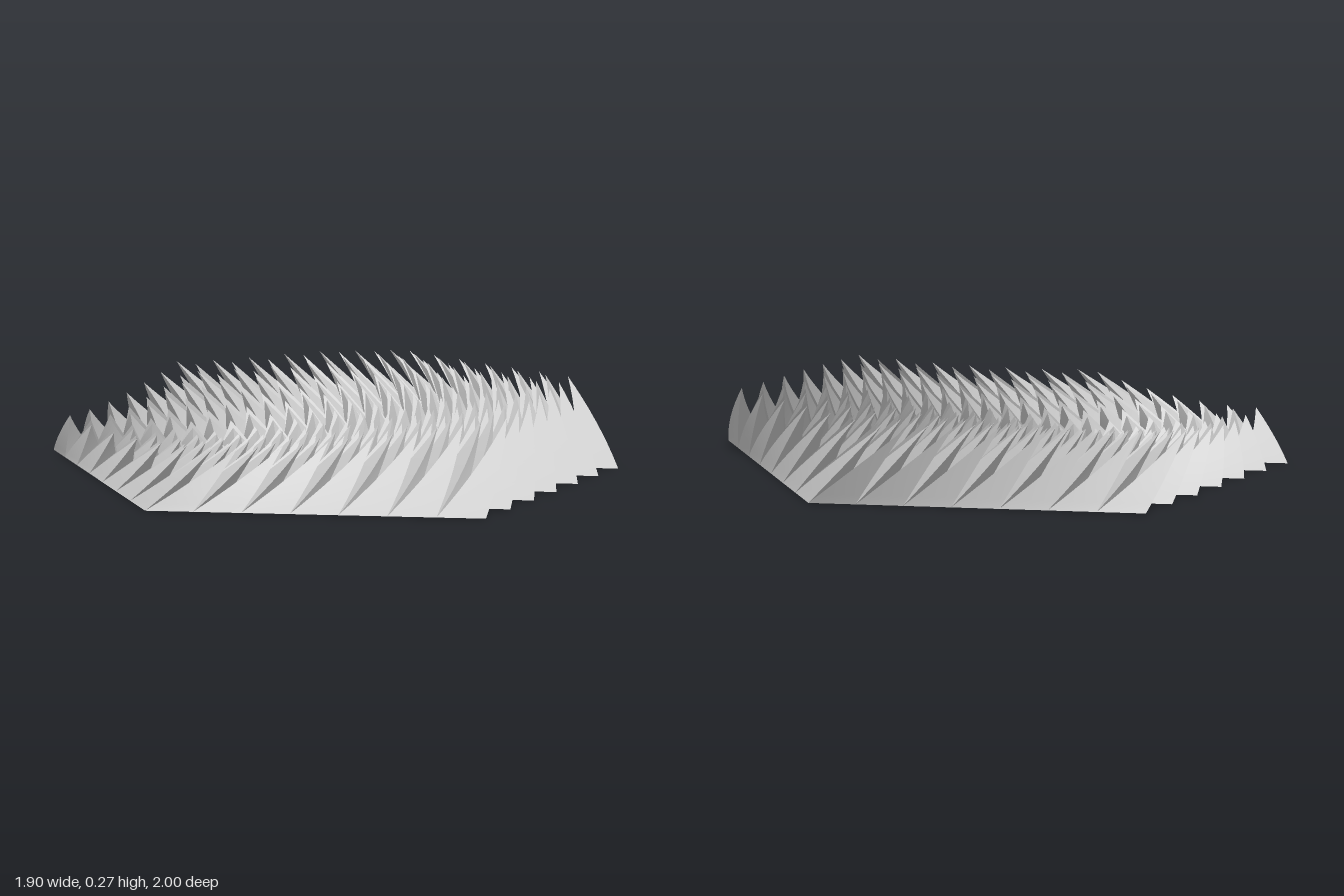
import * as THREE from 'three';

const EDGE = 2 / 13;                    // side of one triangular cell
const STEP = EDGE * Math.sqrt(3) / 2;   // distance between lattice columns
const COLS = 7;                         // columns on each side of the middle
const MID_X = 0.0275;
const SWIRL = new THREE.Vector3(-0.318, 0, 0.196); // centre all spikes turn about
const TWIST = 0.26, SHRINK = 0.04, STEPS = 8;
const UP = new THREE.Vector3(0, 1, 0);

// Lattice point j (from back to front) of column i
function latticePoint(i, j) {
  return new THREE.Vector3(MID_X + i * STEP, 0, (j - (13 - Math.abs(i)) / 2) * EDGE);
}

// All base triangles; the outermost columns keep only the outward teeth
function baseCells() {
  const cells = [];
  for (const side of [-1, 1]) {
    for (let k = 0; k < COLS; k++) {
      const inner = (j) => latticePoint(side * k, j);
      const outer = (j) => latticePoint(side * (k + 1), j);
      const count = 13 - k;
      for (let j = 0; j < count; j++) {
        cells.push([inner(j), inner(j + 1), outer(j)]);
        if (j < count - 1 && k < COLS - 1) cells.push([outer(j), inner(j + 1), outer(j + 1)]);
      }
    }
  }
  return cells;
}

// One curved spike: the triangle shrinks to a tip while turning about SWIRL
function addSpike(cell, positions, indices) {
  let [a, b, c] = cell;
  const turn = b.clone().sub(a).cross(c.clone().sub(a));
  if (turn.y < 0) [b, c] = [c, b];
  const corners = [a, b, c];
  const centre = a.clone().add(b).add(c).divideScalar(3);
  const r = centre.distanceTo(SWIRL);
  const height = THREE.MathUtils.clamp(0.1 + 0.15 * r - 0.04 * centre.z, 0.1, 0.27);

  const section = (corner, s) => {
    const p = corner.clone().lerp(centre, s).sub(SWIRL);
    p.applyAxisAngle(UP, TWIST * s).multiplyScalar(1 - SHRINK * s).add(SWIRL);
    p.y = height * s;
    return p;
  };
  const push = (p) => positions.push(p.x, p.y, p.z);

  // three sides, unshared so that the ridges stay sharp
  for (let e = 0; e < 3; e++) {
    const first = positions.length / 3;
    for (let t = 0; t <= STEPS; t++) {
      push(section(corners[e], t / STEPS));
      push(section(corners[(e + 1) % 3], t / STEPS));
    }
    for (let t = 0; t < STEPS; t++) {
      const q = first + 2 * t;
      indices.push(q, q + 1, q + 3);
      if (t < STEPS - 1) indices.push(q, q + 3, q + 2);
    }
  }
  // flat underside
  const base = positions.length / 3;
  corners.forEach(push);
  indices.push(base, base + 2, base + 1);
}

export function createModel() {
  const positions = [], indices = [];
  for (const cell of baseCells()) addSpike(cell, positions, indices);

  const geometry = new THREE.BufferGeometry();
  geometry.setAttribute('position', new THREE.Float32BufferAttribute(positions, 3));
  geometry.setIndex(indices);
  geometry.computeVertexNormals();

  const spikes = new THREE.Mesh(geometry, new THREE.MeshStandardMaterial({ color: 0xcccccc }));
  spikes.name = 'swirlingSpikes';
  const group = new THREE.Group();
  group.name = 'hexagonalSpikePanel';
  group.add(spikes);
  return group;
}
